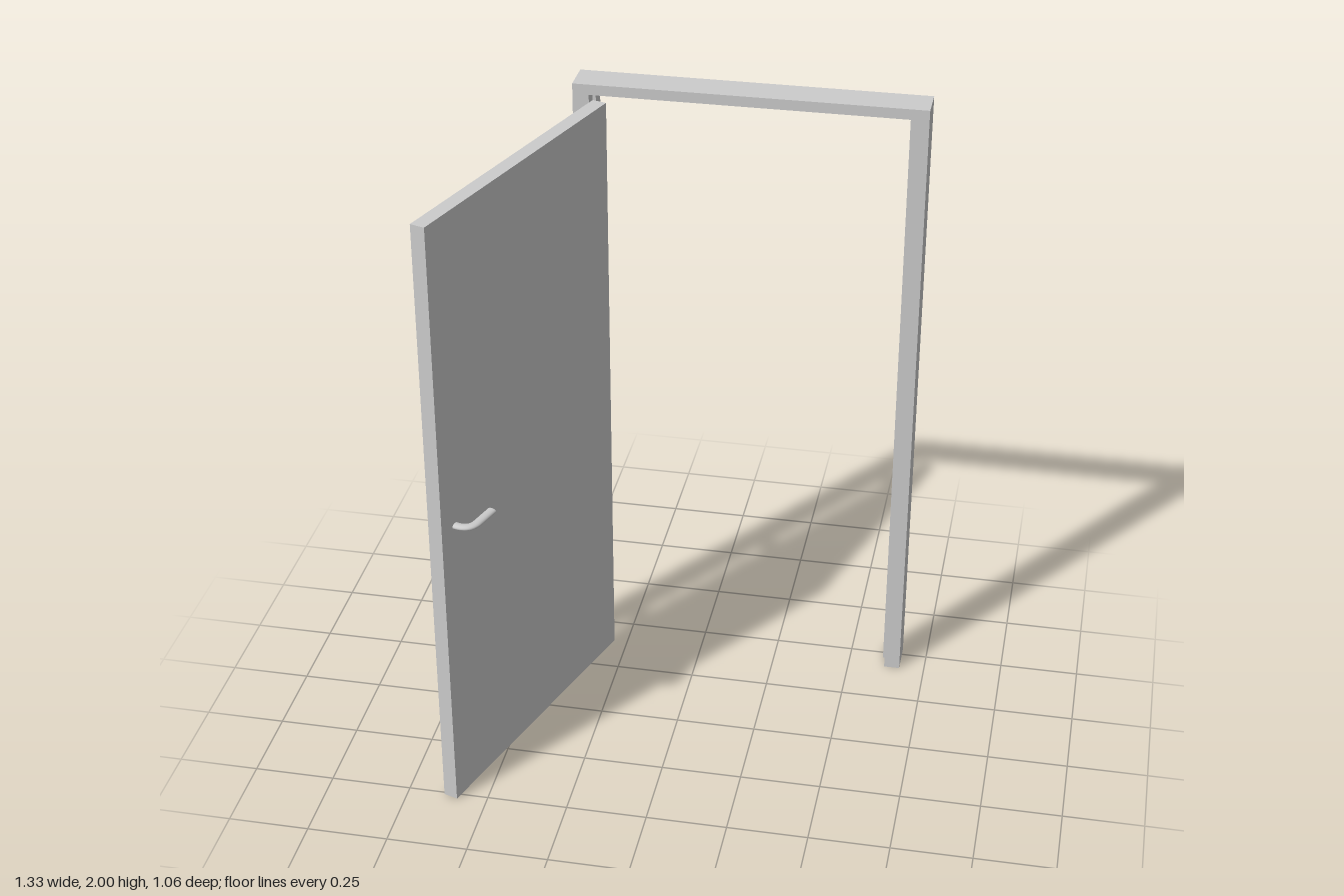
import * as THREE from 'three';

const grey = new THREE.MeshStandardMaterial({ color: 0xcccccc });

function add(parent, name, geometry, x = 0, y = 0, z = 0) {
  const mesh = new THREE.Mesh(geometry, grey);
  mesh.name = name;
  mesh.position.set(x, y, z);
  parent.add(mesh);
  return mesh;
}

// Upside-down U: two jambs and a header, extruded along z
function portal(x0, x1, height, jamb, header, depth) {
  const shape = new THREE.Shape([
    [x0, 0], [x0 + jamb, 0], [x0 + jamb, height - header], [x1 - jamb, height - header],
    [x1 - jamb, 0], [x1, 0], [x1, height], [x0, height],
  ].map(([x, y]) => new THREE.Vector2(x, y)));
  return new THREE.ExtrudeGeometry(shape, { depth, bevelEnabled: false });
}

// U-shaped lever path through the door, in the door's xz plane
function leverPath(side, tip, bar, bend) {
  const v = (x, z) => new THREE.Vector3(x, 0, z);
  const path = new THREE.CurvePath();
  path.add(new THREE.LineCurve3(v(-side, tip), v(-side, bar - bend)));
  path.add(new THREE.QuadraticBezierCurve3(v(-side, bar - bend), v(-side, bar), v(-side + bend, bar)));
  path.add(new THREE.LineCurve3(v(-side + bend, bar), v(side - bend, bar)));
  path.add(new THREE.QuadraticBezierCurve3(v(side - bend, bar), v(side, bar), v(side, bar - bend)));
  path.add(new THREE.LineCurve3(v(side, bar - bend), v(side, tip)));
  return path;
}

export function createModel() {
  const model = new THREE.Group();
  model.name = 'openDoor';

  // Frame: thicker stop behind, shallow rebate in front
  const frame = new THREE.Group();
  frame.name = 'doorFrame';
  model.add(frame);
  add(frame, 'frameStop', portal(-0.402, 0.669, 2, 0.06, 0.043, 0.06), 0, 0, -0.53);
  add(frame, 'frameRebate', portal(-0.402, 0.669, 2, 0.05, 0.033, 0.05), 0, 0, -0.47);

  // Hinge barrels
  for (const y of [0.21, 0.98, 1.75]) {
    add(model, 'hinge', new THREE.CylinderGeometry(0.011, 0.011, 0.078, 20), -0.346, y, -0.408);
  }

  // Leaf swung open; its length runs along local z from the hinge edge
  const door = new THREE.Group();
  door.name = 'door';
  door.position.set(-0.315, 0, -0.4);
  door.rotation.y = -Math.PI / 10;
  model.add(door);
  add(door, 'doorLeaf', new THREE.BoxGeometry(0.046, 1.955, 0.966), 0, 0.98, 0.483);

  // Flattened lever handles on both faces, joined by a spindle
  const handle = new THREE.Group();
  handle.name = 'handle';
  handle.position.y = 0.967;
  handle.scale.y = 0.6;
  door.add(handle);
  const side = 0.073, tip = 0.776, radius = 0.0145;
  add(handle, 'lever', new THREE.TubeGeometry(leverPath(side, tip, 0.897, 0.045), 72, radius, 16));
  for (const s of [-1, 1]) {
    add(handle, 'leverEnd', new THREE.CircleGeometry(radius, 16), s * side, 0, tip).rotation.y = Math.PI;
  }

  return model;
}
